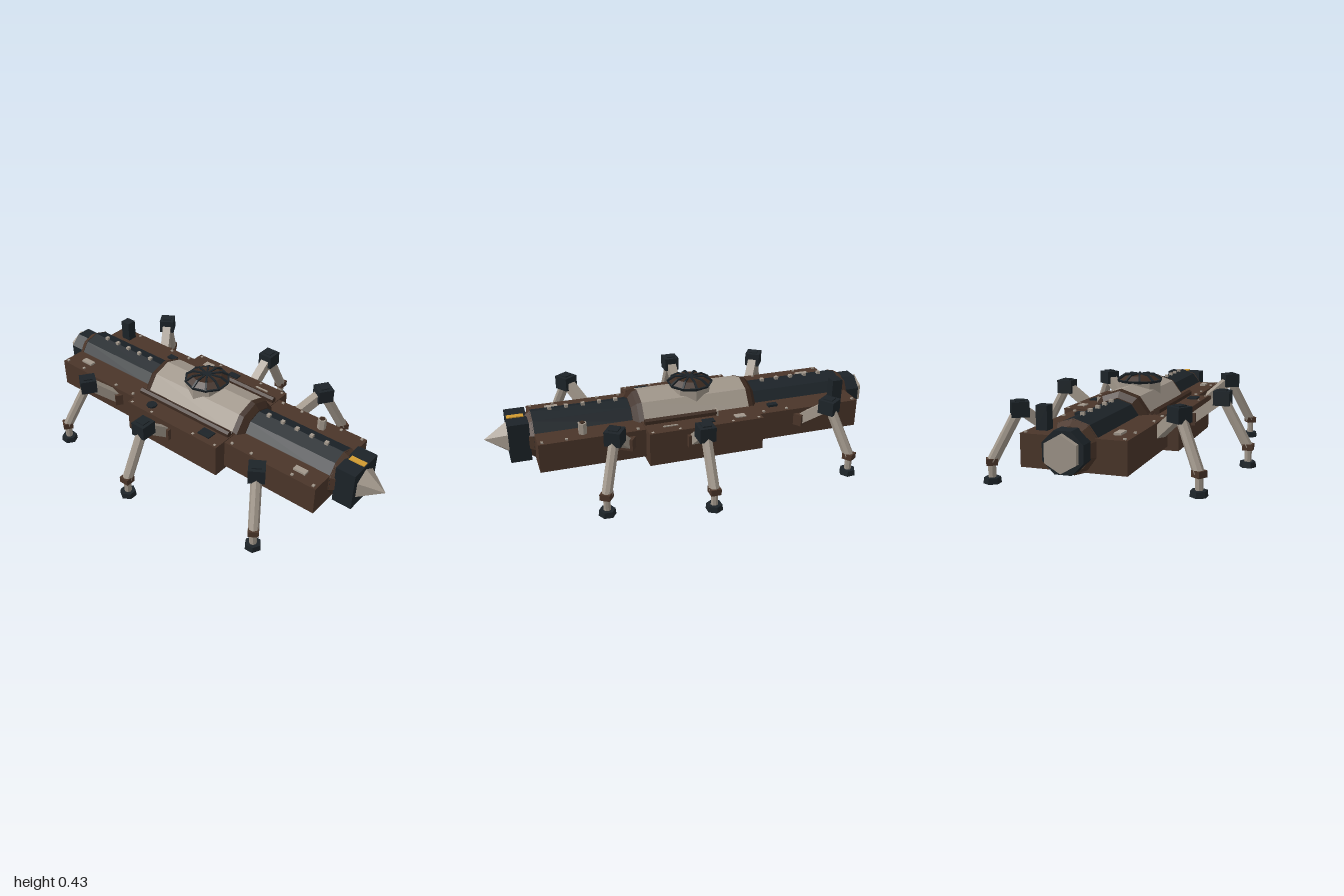
import * as THREE from 'three';

const mat = (color) => new THREE.MeshStandardMaterial({ color, flatShading: true });
const BROWN = mat(0x4a3529), DARK = mat(0x1c2328), LIGHT = mat(0xa0968a), YELLOW = mat(0xd09a30), RIM = mat(0x3c2a20);
const AXIS = 0.235; // height of the main tube axis
const DECK = 0.28; // top of the side hulls

export function createModel() {
  const model = new THREE.Group();
  model.name = 'walkingBase';

  const add = (name, geo, material, x, y, z, parent = model) => {
    const mesh = new THREE.Mesh(geo, material);
    mesh.name = name;
    mesh.position.set(x, y, z);
    parent.add(mesh);
    return mesh;
  };
  const box = (name, m, w, h, d, x, y, z, parent) => add(name, new THREE.BoxGeometry(w, h, d), m, x, y, z, parent);
  const post = (name, m, rTop, rBottom, h, sides, x, y, z, parent) =>
    add(name, new THREE.CylinderGeometry(rTop, rBottom, h, sides), m, x, y, z, parent);
  // Prism along x from x0 to x1, with a corner at the top
  const tube = (name, m, x0, x1, r0, r1, sides = 10, y = AXIS, z = 0, turn = 0) => {
    const geo = new THREE.CylinderGeometry(r1, r0, x1 - x0, sides, 1, false, Math.PI / 2 + turn);
    return add(name, geo.rotateZ(-Math.PI / 2), m, (x0 + x1) / 2, y, z);
  };
  // Beam between two points of a leg, both given as [y, z]
  const beam = (name, geoOf, m, [y0, z0], [y1, z1], parent) => {
    const mesh = add(name, geoOf(Math.hypot(y1 - y0, z1 - z0)), m, 0, (y0 + y1) / 2, (z0 + z1) / 2, parent);
    mesh.rotation.x = Math.atan2(z1 - z0, y1 - y0);
    return mesh;
  };

  // Hull blocks
  box('leftHull', BROWN, 0.515, 0.145, 0.45, 0.5125, 0.2075, 0);
  box('rightHull', BROWN, 0.55, 0.145, 0.475, -0.605, 0.2075, 0);
  box('middleHull', BROWN, 0.585, 0.17, 0.58, -0.0375, 0.2, 0);

  // Tube modules with tapered collars
  tube('rightTube', DARK, -0.87, -0.34, 0.117, 0.117);
  tube('leftTube', DARK, 0.27, 0.775, 0.117, 0.117);
  tube('middleTube', LIGHT, -0.315, 0.245, 0.155, 0.155);
  tube('collar', RIM, -0.36, -0.335, 0.122, 0.15);
  tube('collar', RIM, -0.335, -0.31, 0.15, 0.158);
  tube('collar', RIM, 0.24, 0.265, 0.158, 0.15);
  tube('collar', RIM, 0.265, 0.29, 0.15, 0.122);
  tube('endCollar', BROWN, -0.905, -0.865, 0.095, 0.12);
  tube('endCollar', BROWN, 0.77, 0.8, 0.12, 0.1);

  // End fittings
  tube('dockingBlock', DARK, -0.975, -0.9, 0.097, 0.097, 8, AXIS, 0, Math.PI / 8);
  tube('dockingPlate', LIGHT, -1, -0.97, 0.08, 0.08, 6);
  box('noseBlock', DARK, 0.1, 0.195, 0.195, 0.84, 0.2375, 0);
  tube('noseCone', LIGHT, 0.89, 1, 0.08, 0, 6);
  box('warningStripe', YELLOW, 0.08, 0.008, 0.03, 0.845, 0.336, 0);

  // Studs along the tubes
  for (let i = 0; i < 5; i++) {
    for (const start of [-0.77, 0.35]) {
      box('stud', LIGHT, 0.018, 0.016, 0.018, start + i * 0.082, 0.356, 0);
    }
  }

  // Cupola with ribs
  const cupola = new THREE.Group();
  cupola.name = 'cupola';
  cupola.position.set(-0.04, 0, 0);
  model.add(cupola);
  post('cupolaBase', LIGHT, 0.11, 0.11, 0.1, 8, 0, 0.345, 0, cupola);
  post('cupolaRing', DARK, 0.118, 0.112, 0.012, 10, 0, 0.398, 0, cupola);
  post('cupolaDome', RIM, 0.075, 0.112, 0.024, 10, 0, 0.413, 0, cupola);
  post('cupolaRoof', RIM, 0.02, 0.075, 0.005, 10, 0, 0.4265, 0, cupola);
  post('cupolaHub', DARK, 0.018, 0.018, 0.008, 8, 0, 0.43, 0, cupola);
  for (let i = 0; i < 10; i++) {
    const rib = new THREE.Group();
    rib.name = 'cupolaRib';
    rib.rotation.y = (i * Math.PI) / 5;
    cupola.add(rib);
    const bar = (l) => new THREE.BoxGeometry(0.01, l, 0.01);
    beam('ribSide', bar, DARK, [0.403, 0.115], [0.427, 0.075], rib);
    beam('ribTop', bar, DARK, [0.427, 0.077], [0.429, 0.01], rib);
  }

  // Deck rails
  tube('frontRail', RIM, -0.33, 0.25, 0.017, 0.017, 6, 0.297, 0.182);
  tube('frontRailLow', RIM, -0.33, 0.25, 0.01, 0.01, 6, 0.286, 0.157);
  tube('backRail', RIM, -0.12, 0.25, 0.017, 0.017, 6, 0.297, -0.182);
  box('railFoot', LIGHT, 0.008, 0.035, 0.04, -0.12, 0.295, -0.182);

  // Deck equipment: x, z, width, depth, height, material
  for (const [x, z, w, d, h, m] of [
    [-0.78, -0.173, 0.055, 0.052, 0.107, DARK],
    [-0.43, -0.165, 0.05, 0.03, 0.012, DARK],
    [-0.055, -0.242, 0.06, 0.035, 0.012, DARK],
    [0.15, 0.233, 0.07, 0.05, 0.012, DARK],
    [-0.76, 0.163, 0.07, 0.032, 0.01, LIGHT],
    [0.65, 0.163, 0.065, 0.03, 0.01, LIGHT],
    [-0.225, -0.235, 0.055, 0.035, 0.01, LIGHT],
    [0.135, -0.235, 0.075, 0.008, 0.01, LIGHT],
  ]) box('deckUnit', m, w, h, d, x, DECK + h / 2, z);
  post('vent', DARK, 0.027, 0.027, 0.015, 8, -0.21, DECK + 0.0075, 0.235);
  post('mast', LIGHT, 0.022, 0.022, 0.055, 6, 0.55, DECK + 0.0275, -0.165);
  post('mastCap', RIM, 0.014, 0.014, 0.006, 6, 0.55, DECK + 0.056, -0.165);

  // Deck bolts
  for (const [x0, x1, z] of [[-0.86, -0.36, 0.22], [-0.31, 0.235, 0.275], [0.29, 0.75, 0.21]]) {
    for (const side of [-1, 1]) {
      for (const t of [0, 0.25, 0.75, 1]) {
        box('bolt', LIGHT, 0.012, 0.008, 0.012, x0 + (x1 - x0) * t, DECK + 0.003, z * side);
      }
    }
  }

  // Legs, each built pointing along +z and then turned outward
  const reach = 0.295;
  const makeLeg = (footX, footZ, degrees) => {
    const leg = new THREE.Group();
    leg.name = 'leg';
    const yaw = THREE.MathUtils.degToRad(degrees);
    leg.rotation.y = yaw;
    leg.position.set(footX - reach * Math.sin(yaw), 0, footZ - reach * Math.cos(yaw));
    model.add(leg);
    box('shoulder', BROWN, 0.075, 0.06, 0.07, 0, 0.225, 0, leg);
    beam('upperArm', (l) => new THREE.BoxGeometry(0.045, l, 0.05), LIGHT, [0.22, 0.01], [0.335, 0.16], leg);
    box('knee', DARK, 0.078, 0.07, 0.08, 0, 0.335, 0.163, leg);
    box('kneeCap', DARK, 0.045, 0.008, 0.045, 0, 0.372, 0.163, leg);
    beam('lowerLeg', (l) => new THREE.CylinderGeometry(0.026, 0.026, l, 8), LIGHT, [0.325, 0.17], [0.1, reach - 0.002], leg);
    box('ankle', BROWN, 0.05, 0.03, 0.05, 0, 0.1, reach, leg);
    post('shin', LIGHT, 0.018, 0.018, 0.07, 8, 0, 0.055, reach, leg);
    post('foot', DARK, 0.038, 0.041, 0.028, 6, 0, 0.014, reach, leg);
  };
  makeLeg(-0.07, 0.57, 0);
  makeLeg(0.03, -0.57, 180);
  makeLeg(-0.62, 0.465, -34);
  makeLeg(0.61, 0.455, 34);
  makeLeg(-0.72, -0.47, -146);
  makeLeg(0.51, -0.46, 146);

  return model;
}
